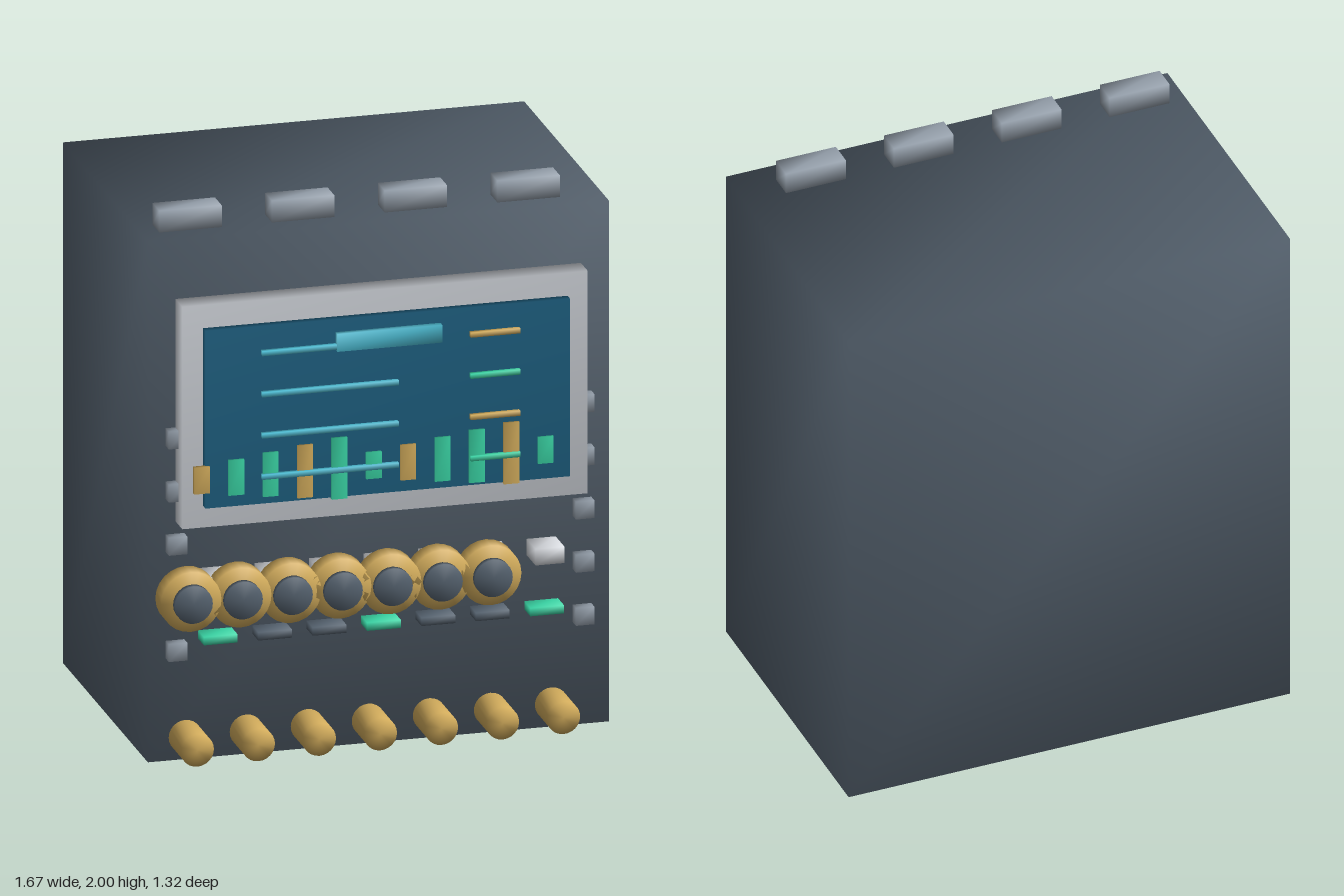
import * as THREE from 'three';
import { mergeVertices } from 'three/addons/utils/BufferGeometryUtils.js';

function material(name, color) {
  const m = new THREE.MeshStandardMaterial({ color });
  m.name = name;
  return m;
}

// Weld corners so that normals run smoothly round the edges
function weld(geometry) {
  geometry.deleteAttribute('normal');
  geometry.deleteAttribute('uv');
  const welded = mergeVertices(geometry);
  welded.clearGroups();
  welded.computeVertexNormals();
  return welded;
}

export function createModel() {
  const slate = material('slate', 0x566370);
  const silver = material('silver', 0xc8ccd2);
  const steel = material('steel', 0x98a3af);
  const gold = material('gold', 0xd2ac5c);
  const screenBlue = material('screen blue', 0x1d5f80);
  const cyan = material('cyan', 0x4cbdd4);
  const green = material('green', 0x3ad6a6);
  const pale = material('pale', 0xdadde2);

  const model = new THREE.Group();
  model.name = 'controlCabinet';

  // Box from its extents
  const box = (name, mat, x0, x1, y0, y1, z0, z1) => {
    const mesh = new THREE.Mesh(weld(new THREE.BoxGeometry(x1 - x0, y1 - y0, z1 - z0)), mat);
    mesh.position.set((x0 + x1) / 2, (y0 + y1) / 2, (z0 + z1) / 2);
    mesh.name = name;
    model.add(mesh);
  };
  // Box centred in x and y, with z extents
  const plate = (name, mat, x, y, w, h, z0, z1) =>
    box(name, mat, x - w / 2, x + w / 2, y - h / 2, y + h / 2, z0, z1);
  // Cylinder pointing forward
  const disc = (name, mat, x, y, r, z0, z1) => {
    const geometry = new THREE.CylinderGeometry(r, r, z1 - z0, 24).rotateX(Math.PI / 2);
    const mesh = new THREE.Mesh(weld(geometry), mat);
    mesh.position.set(x, y, (z0 + z1) / 2);
    mesh.name = name;
    model.add(mesh);
  };

  // Cabinet, screen frame and screen
  box('cabinet', slate, -0.835, 0.835, 0, 1.92, -0.66, 0.455);
  box('screenFrame', silver, -0.735, 0.733, 0.88, 1.7, 0.45, 0.545);
  box('screen', screenBlue, -0.66, 0.66, 0.96, 1.615, 0.54, 0.577);

  // Screen title and text lines
  plate('screenTitle', cyan, 0, 1.537, 0.38, 0.065, 0.58, 0.605);
  for (let i = 0; i < 4; i++) {
    const y = 1.52 - i * 0.152;
    plate('screenLine', cyan, -0.213, y, 0.495, 0.018, 0.58, 0.6);
    plate('screenValue', i % 2 ? green : gold, 0.385, y, 0.18, 0.018, 0.58, 0.6);
  }

  // Level bars
  for (let i = 0; i < 11; i++) {
    plate('levelBar', i % 3 ? green : gold, -0.675 + i * 0.1245, 1.068,
      0.056, 0.098 + (i % 5) * 0.032, 0.57, 0.588);
  }

  // Knobs, switches, buttons and jacks, seven of each
  for (let i = 0; i < 7; i++) {
    const buttonX = -0.593 + i * 0.197;
    disc('knob', gold, -0.725 + i * 0.181, 0.637, 0.11, 0.553, 0.625);
    disc('knobCap', slate, -0.725 + i * 0.181, 0.637, 0.069, 0.637, 0.66);
    plate('switch', pale, buttonX, 0.67, 0.105, 0.06, 0.455, 0.572);
    plate('button', i % 3 ? slate : green, buttonX, 0.456, 0.122, 0.03, 0.455, 0.535);
    disc('jack', gold, -0.708 + i * 0.221, 0.095, 0.06, 0.485, 0.645);
  }

  // Side bolts
  for (const side of [-1, 1]) {
    for (let i = 0; i < 5; i++) {
      plate('bolt', steel, side * 0.737, 0.41 + i * 0.196, 0.067, 0.065, 0.455, 0.497);
    }
  }

  // Vents on the roof
  for (let i = 0; i < 4; i++) {
    const x = -0.657 + i * 0.408;
    box('roofVent', steel, x - 0.113, x + 0.113, 1.92, 2, 0.28, 0.37);
  }

  return model;
}
